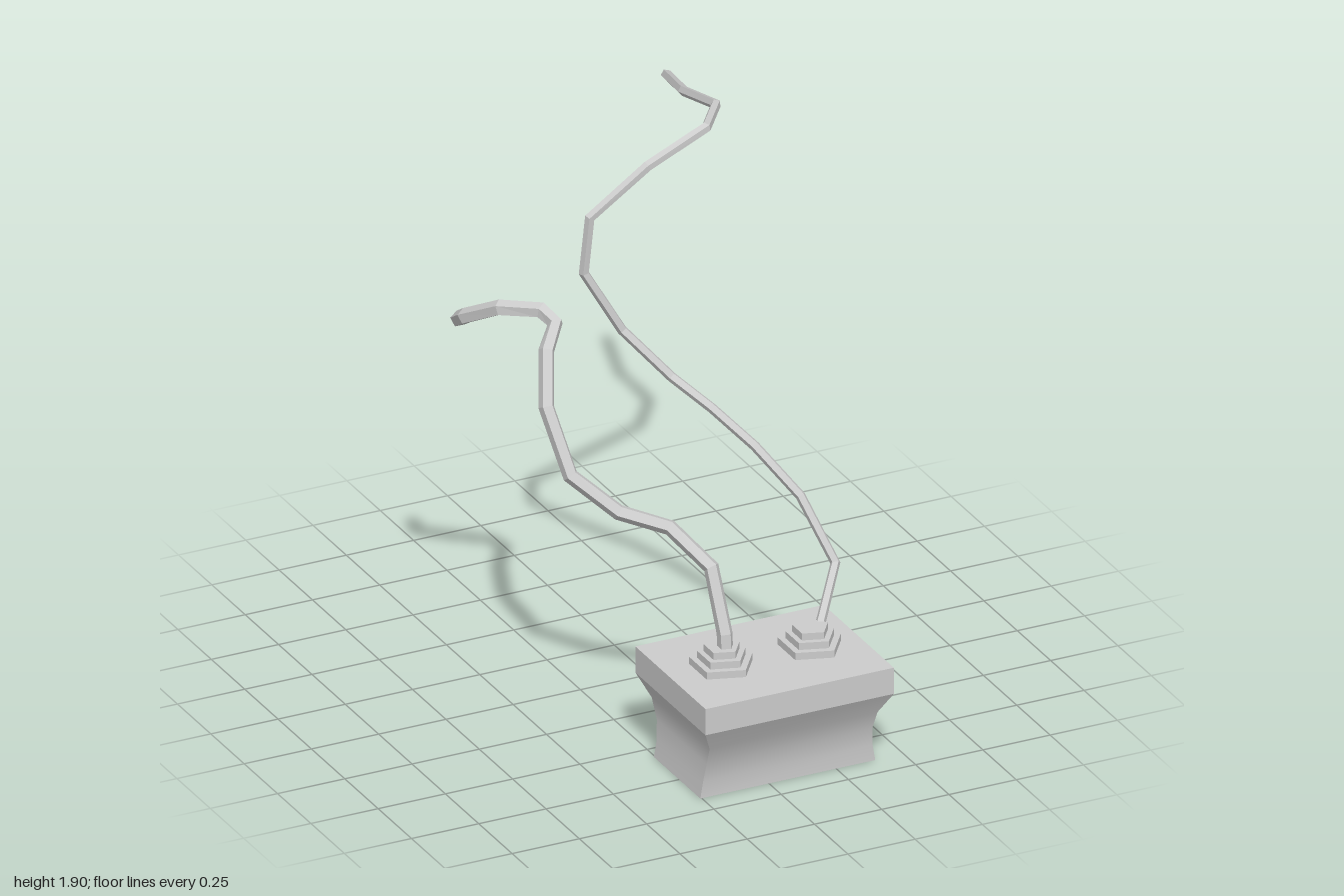
import * as THREE from 'three';
import { toCreasedNormals } from 'three/addons/utils/BufferGeometryUtils.js';

const smooth = new THREE.MeshStandardMaterial({ color: 0xcccccc, side: THREE.DoubleSide });
const flat = new THREE.MeshStandardMaterial({ color: 0xcccccc, flatShading: true });

// Curve that keeps every bend of a polyline as a ring of the tube
class BentPath extends THREE.Curve {
  constructor(points) {
    super();
    this.points = points.map((p) => new THREE.Vector3(...p));
  }
  getPoint(t, target = new THREE.Vector3()) {
    const s = t * (this.points.length - 1);
    const i = Math.min(Math.floor(s + 1e-6), this.points.length - 2);
    return target.lerpVectors(this.points[i], this.points[i + 1], s - i);
  }
  getPointAt(u, target) {
    return this.getPoint(u, target);
  }
  getTangentAt(u, target = new THREE.Vector3()) {
    const p = this.points, n = p.length - 1, i = Math.round(u * n);
    const step = (j) => p[j + 1].clone().sub(p[j]).normalize();
    return target.copy(step(Math.max(i - 1, 0))).add(step(Math.min(i, n - 1))).normalize();
  }
}

function mesh(name, geometry, material) {
  const m = new THREE.Mesh(geometry, material);
  m.name = name;
  return m;
}

function fromArrays(positions, index) {
  const g = new THREE.BufferGeometry();
  g.setAttribute('position', new THREE.Float32BufferAttribute(positions, 3));
  g.setIndex(index);
  g.computeVertexNormals();
  return g;
}

// Low-poly cable with closed ends
function cable(name, points, radius, sides = 5) {
  const group = new THREE.Group();
  group.name = name;
  const n = points.length - 1;
  const tube = new THREE.TubeGeometry(new BentPath(points), n, radius, sides);
  group.add(mesh(name + 'Tube', tube, flat));
  for (const ring of [0, n]) {
    const pos = [], index = [];
    for (let i = 0; i < sides; i++) {
      const k = ring * (sides + 1) + i;
      pos.push(tube.attributes.position.getX(k), tube.attributes.position.getY(k), tube.attributes.position.getZ(k));
      if (i > 1) index.push(0, i - 1, i);
    }
    group.add(mesh(name + 'End', fromArrays(pos, index), smooth));
  }
  return group;
}

// Four walls following a profile of [y, half width, half depth]
function walls(profile) {
  const corners = [[-1, 1], [1, 1], [1, -1], [-1, -1]];
  const pos = [], index = [];
  corners.forEach((a, k) => {
    const b = corners[(k + 1) % 4];
    const start = pos.length / 3;
    profile.forEach(([y, w, d], i) => {
      pos.push(a[0] * w, y, a[1] * d, b[0] * w, y, b[1] * d);
      const o = start + i * 2;
      if (i < profile.length - 1) index.push(o, o + 1, o + 3, o, o + 3, o + 2);
    });
  });
  return fromArrays(pos, index);
}

export function createModel() {
  const model = new THREE.Group();

  // Flared base, open underneath
  const base = new THREE.Group();
  base.name = 'base';
  base.position.set(0.07, 0, 0.735);
  const flare = [
    [0, 0.325, 0.174], [0.06, 0.315, 0.174], [0.13, 0.308, 0.187],
    [0.2, 0.312, 0.217], [0.28, 0.35, 0.263],
  ];
  base.add(mesh('flaredWalls', walls(flare), smooth));
  base.add(mesh('upperBand', walls([[0.28, 0.35, 0.263], [0.377, 0.35, 0.263]]), smooth));
  const top = mesh('baseTop', new THREE.PlaneGeometry(0.7, 0.526).rotateX(-Math.PI / 2), smooth);
  top.position.y = 0.377;
  base.add(top);
  model.add(base);

  // Stepped pentagonal sockets, a corner pointing to +x
  for (const [name, x] of [['rightSocket', -0.087], ['leftSocket', 0.242]]) {
    const socket = new THREE.Group();
    socket.name = name;
    socket.position.set(x, 0.377, 0.735);
    [0.112, 0.086, 0.063].forEach((r, i) => {
      const tier = new THREE.CylinderGeometry(r, r, 0.026, 5).rotateY(Math.PI / 2 - Math.PI * 2);
      tier.rotateY(Math.PI * 2);
      tier.rotateY(-Math.PI / 2).rotateY(Math.PI / 2);
      const step = mesh('socketTier', toCreasedNormals(tier, 0.5), smooth);
      step.position.y = 0.013 + i * 0.0255;
      socket.add(step);
    });
    model.add(socket);
  }

  // Thick, shorter cable
  model.add(cable('thickCable', [
    [-0.08, 0.43, 0.745], [-0.08, 0.5, 0.74], [-0.088, 0.71, 0.655], [-0.168, 0.81, 0.505],
    [-0.31, 0.855, 0.41], [-0.44, 0.975, 0.31], [-0.475, 1.19, 0.2], [-0.43, 1.35, 0.11],
    [-0.372, 1.415, 0.058], [-0.395, 1.442, 0.0], [-0.5, 1.43, -0.1], [-0.56, 1.35, -0.24],
    [-0.53, 1.285, -0.35],
  ], 0.028));

  // Thin, longer cable
  model.add(cable('thinCable', [
    [0.28, 0.43, 0.72], [0.41, 0.585, 0.58], [0.345, 0.79, 0.45], [0.245, 0.935, 0.31],
    [0.185, 1.0, 0.11], [0.115, 1.06, -0.05], [-0.02, 1.22, -0.15], [-0.15, 1.45, -0.175],
    [-0.137, 1.66, -0.157], [0.07, 1.812, -0.143], [0.312, 1.882, -0.19], [0.432, 1.866, -0.36],
    [0.457, 1.78, -0.655], [0.562, 1.667, -0.995],
  ], 0.018));

  return model;
}
